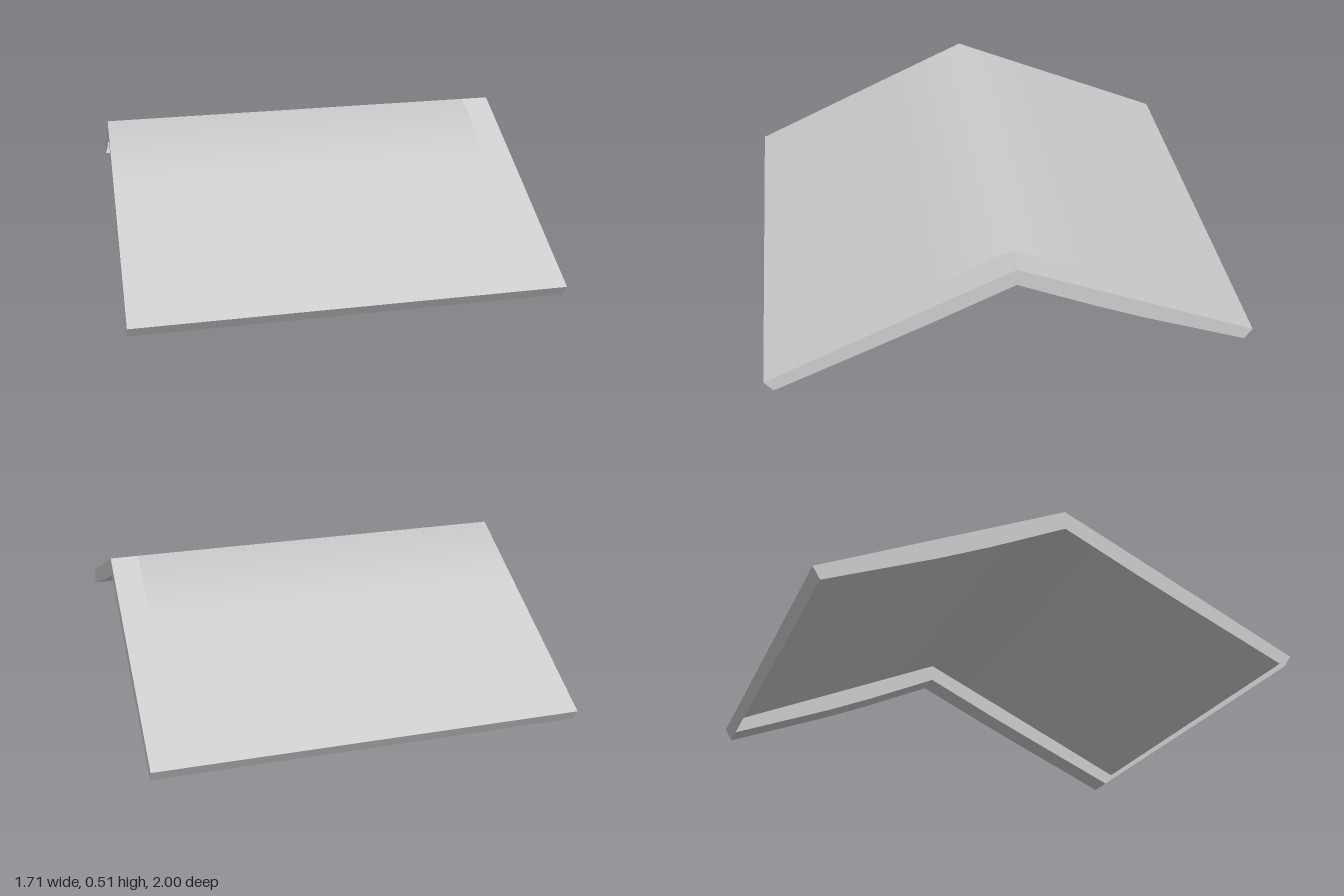
import * as THREE from 'three';

const material = new THREE.MeshStandardMaterial({ color: 0xcccccc, side: THREE.DoubleSide });
const X_MIN = -0.855, X_SEAM = 0.74, X_MAX = 0.855;

// Profile as [z, y] points, running round the section: over the top, back underneath
const top = [[1, 0.05], [0.35, 0.35], [-0.005, 0.512], [-0.35, 0.355], [-1, 0.06]];
const under = [[-0.97, 0.01], [-0.53, 0.19], [-0.32, 0.284], [-0.005, 0.435],
  [0.32, 0.284], [0.52, 0.195], [0.965, 0]];
const backEave = [top[4], under[0]];
const frontEave = [under[6], top[0]];

// Sweeps profile points along x, with soft or hard folds
function sheet(name, points, x0, x1, smooth = false) {
  const positions = [], normals = [], index = [];
  points.forEach(([z, y], i) => {
    positions.push(x0, y, z, x1, y, z);
    // Normal at right angles to the line between the neighbouring points
    const [za, ya] = points[Math.max(i - 1, 0)];
    const [zb, yb] = points[Math.min(i + 1, points.length - 1)];
    const n = new THREE.Vector3(0, za - zb, yb - ya).normalize();
    normals.push(...n, ...n);
    if (i > 0) {
      const a = 2 * (i - 1);
      index.push(a, a + 1, a + 3, a, a + 3, a + 2);
    }
  });
  let geometry = new THREE.BufferGeometry();
  geometry.setAttribute('position', new THREE.Float32BufferAttribute(positions, 3));
  geometry.setAttribute('normal', new THREE.Float32BufferAttribute(normals, 3));
  geometry.setIndex(index);
  if (!smooth) {
    geometry = geometry.toNonIndexed();
    geometry.computeVertexNormals();
  }
  const mesh = new THREE.Mesh(geometry, material);
  mesh.name = name;
  return mesh;
}

// Flat plate in the shape of the section; side is the x direction it faces
function plate(name, x, side) {
  const outline = [...top, ...under].map(([z, y]) => new THREE.Vector2(-side * z, y));
  const geometry = new THREE.ShapeGeometry(new THREE.Shape(outline));
  geometry.rotateY(side * Math.PI / 2).translate(x, 0, 0);
  const mesh = new THREE.Mesh(geometry, material);
  mesh.name = name;
  return mesh;
}

export function createModel() {
  const roof = new THREE.Group();
  roof.name = 'gableRoof';

  // Thin roof skin, open underneath, with a softened ridge
  roof.add(
    sheet('roofSkin', top, X_MIN, X_SEAM, true),
    sheet('backEave', backEave, X_MIN, X_SEAM),
    sheet('frontEave', frontEave, X_MIN, X_SEAM),
    plate('rightGable', X_MIN, -1),
  );

  // Solid rafter closing the left end, with a crisp ridge
  const rafter = new THREE.Group();
  rafter.name = 'leftRafter';
  rafter.add(
    sheet('rafterTop', top, X_SEAM, X_MAX),
    sheet('rafterUnderside', under, X_SEAM, X_MAX),
    sheet('rafterBackEnd', backEave, X_SEAM, X_MAX),
    sheet('rafterFrontEnd', frontEave, X_SEAM, X_MAX),
    plate('leftGable', X_MAX, 1),
    plate('rafterInnerFace', X_SEAM, -1),
  );
  roof.add(rafter);
  return roof;
}
